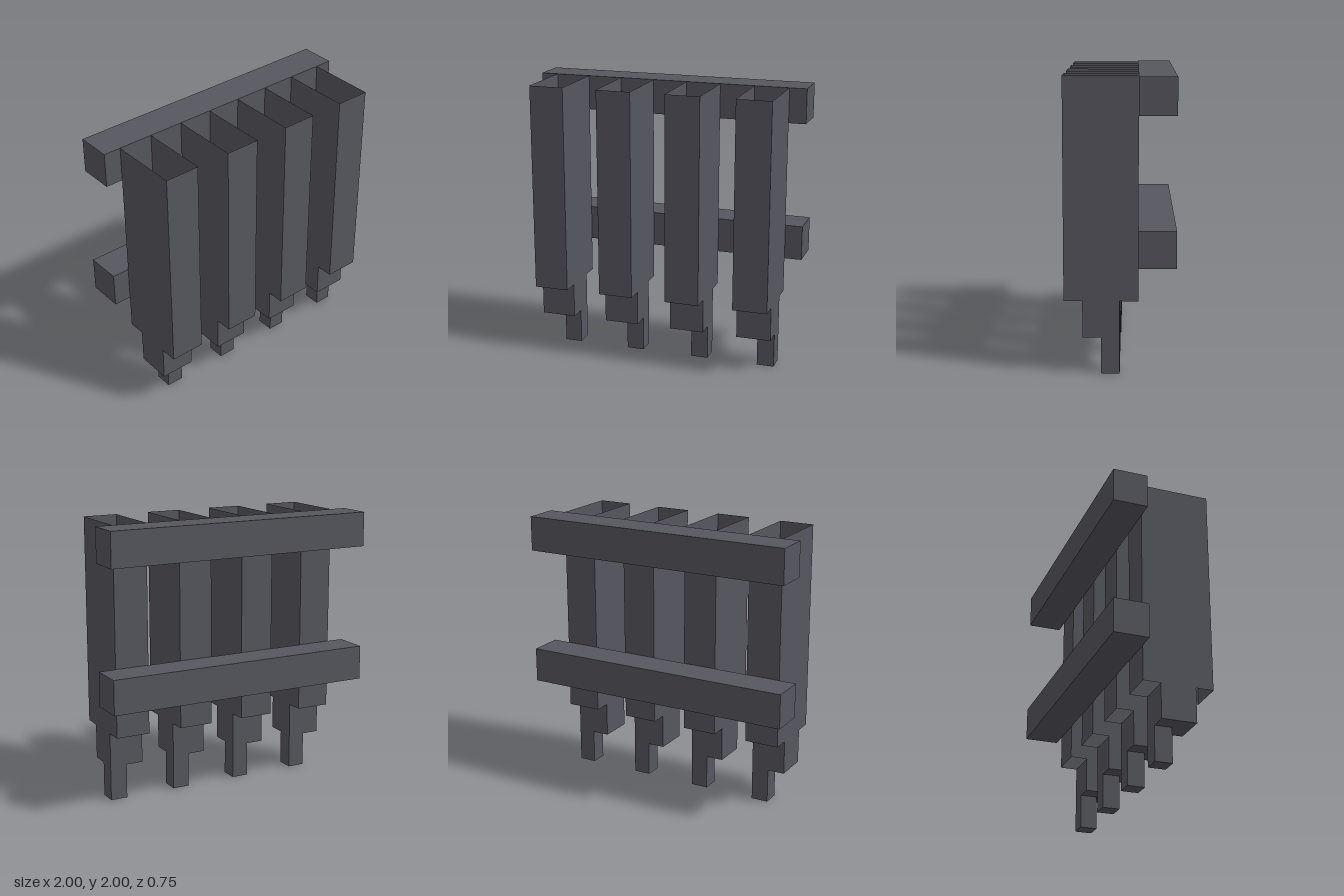
import * as THREE from 'three';

export function createModel() {
  const model = new THREE.Group();
  model.name = 'slattedPanel';

  const solid = new THREE.MeshStandardMaterial({ name: 'dark grey', color: 0x56565f });
  solid.side = THREE.DoubleSide;

  const add = (parent, name, geometry, x, y, z) => {
    const mesh = new THREE.Mesh(geometry, solid);
    mesh.name = name;
    mesh.position.set(x, y, z);
    parent.add(mesh);
  };

  // Slat shell: four walls, open at the top and bottom
  const shell = new THREE.BoxGeometry(0.25, 1.5, 0.5);
  const index = Array.from(shell.index.array);
  shell.setIndex([...index.slice(0, 12), ...index.slice(24)]);
  shell.clearGroups();

  const footBlock = new THREE.BoxGeometry(0.25, 0.25, 0.25);
  const footTip = new THREE.BoxGeometry(0.125, 0.25, 0.125);
  const rail = new THREE.BoxGeometry(2, 0.25, 0.25);

  // Four upright slats, each stepping down to a narrow off-centre tip
  for (let i = 0; i < 4; i++) {
    const slat = new THREE.Group();
    slat.name = `slat${i + 1}`;
    slat.position.x = -0.75 + i * 0.5;
    add(slat, 'slatShell', shell, 0, 1.25, 0.125);
    add(slat, 'footBlock', footBlock, 0, 0.375, 0.125);
    add(slat, 'footTip', footTip, 0.0625, 0.125, 0.0625);
    model.add(slat);
  }

  // Two rails across the back
  add(model, 'upperRail', rail, 0, 1.875, -0.25);
  add(model, 'lowerRail', rail, 0, 0.875, -0.25);

  return model;
}
